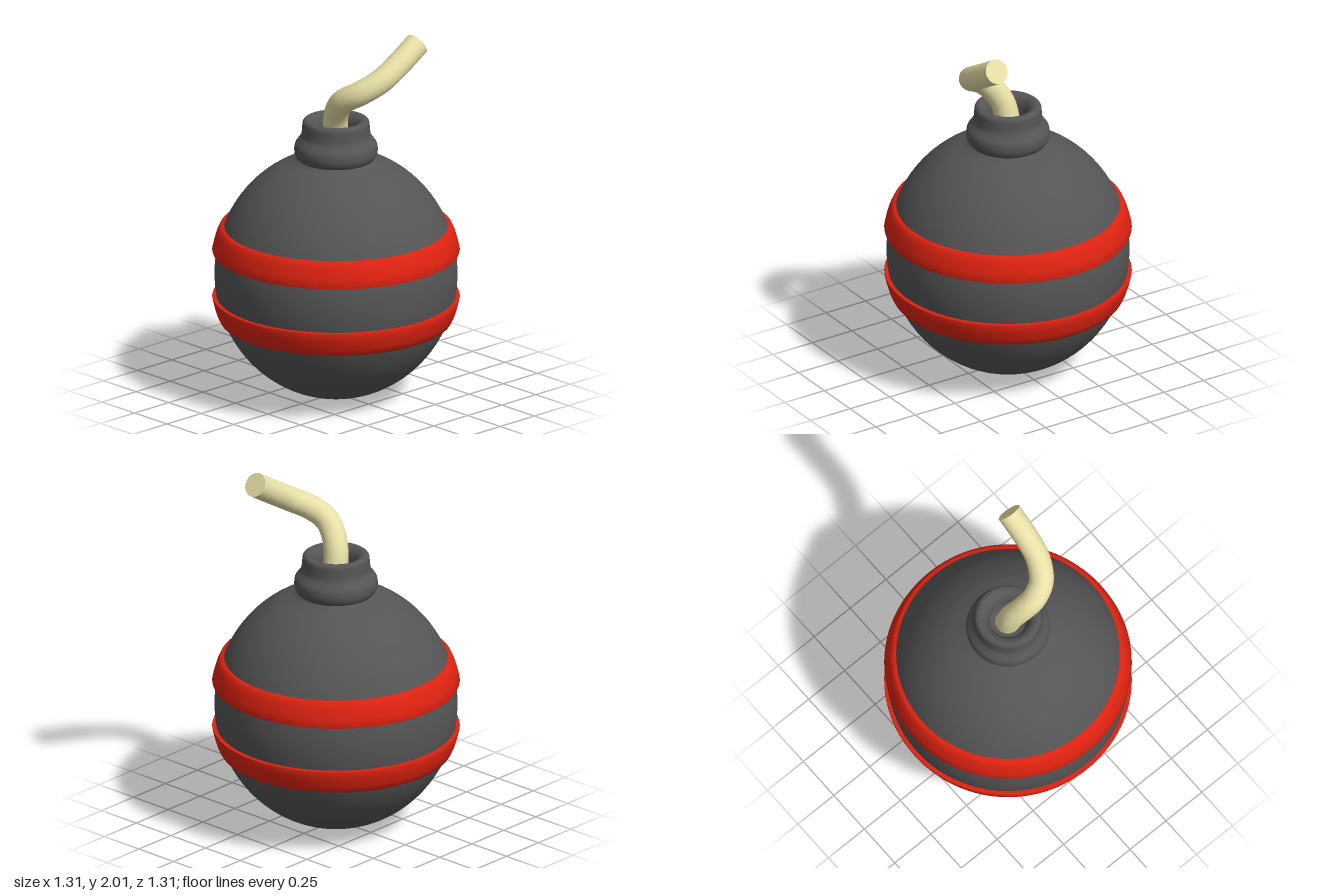
import * as THREE from 'three';
import { toCreasedNormals } from 'three/addons/utils/BufferGeometryUtils.js';

const iron = new THREE.MeshStandardMaterial({ color: 0x555555 });
const red = new THREE.MeshStandardMaterial({ color: 0xdd2211 });
const cord = new THREE.MeshStandardMaterial({ color: 0xe6dfa6 });

const vectors = (pairs) => pairs.map(([x, y]) => new THREE.Vector2(x, y));

function addMesh(group, name, geometry, material) {
  const mesh = new THREE.Mesh(geometry, material);
  mesh.name = name;
  group.add(mesh);
  return mesh;
}

export function createModel() {
  const model = new THREE.Group();
  model.name = 'bomb';

  // Slightly tall round body, flaring into the neck
  const centerY = 0.675, radius = 0.645, height = 0.675;
  const profile = [];
  for (let i = 0; i <= 40; i++) {
    const a = -Math.PI / 2 + (i / 40) * (Math.PI / 2 + 1.1);
    profile.push(new THREE.Vector2(i ? radius * Math.cos(a) : 0, centerY + height * Math.sin(a)));
  }
  profile.push(...vectors([[0.235, 1.297], [0.2, 1.318], [0.185, 1.34]]));
  addMesh(model, 'body', new THREE.LatheGeometry(profile, 96), iron);

  // Neck: swollen collar, narrower rim and a hollow for the fuse
  const neck = new THREE.SplineCurve(vectors([
    [0.17, 1.305], [0.2, 1.315], [0.22, 1.35], [0.219, 1.395], [0.2, 1.425],
    [0.185, 1.45], [0.18, 1.49], [0.177, 1.52], [0.165, 1.534], [0.145, 1.534],
    [0.122, 1.52], [0.105, 1.49], [0.098, 1.45], [0.085, 1.425], [0, 1.42],
  ]));
  addMesh(model, 'neck', new THREE.LatheGeometry(neck.getPoints(60), 64), iron);

  // Two raised bands, mirrored about the middle
  const bandOuter = [[0.655, 0.125], [0.657, 0.131], [0.647, 0.175], [0.633, 0.222], [0.617, 0.256], [0.609, 0.262]];
  for (const side of [1, -1]) {
    let points = [[0.59, 0.125], ...bandOuter, [0.56, 0.262], [0.59, 0.125]];
    points = points.map(([x, y]) => [x, 0.677 + side * y]);
    if (side < 0) points.reverse();
    const geometry = toCreasedNormals(new THREE.LatheGeometry(vectors(points), 96), 0.7);
    addMesh(model, side > 0 ? 'upperBand' : 'lowerBand', geometry, red);
  }

  // Curling fuse with a flat cut end
  const path = new THREE.CatmullRomCurve3([
    [0.01, 1.4, 0], [-0.02, 1.54, 0.018], [-0.048, 1.63, 0.07], [-0.058, 1.685, 0.13],
    [-0.025, 1.735, 0.21], [0.07, 1.795, 0.268], [0.19, 1.868, 0.283], [0.325, 1.95, 0.283],
  ].map((p) => new THREE.Vector3(...p)));
  const fuse = new THREE.Group();
  fuse.name = 'fuse';
  model.add(fuse);
  addMesh(fuse, 'fuseCord', new THREE.TubeGeometry(path, 64, 0.066, 24), cord);
  const end = addMesh(fuse, 'fuseEnd', new THREE.CircleGeometry(0.066, 24), cord);
  end.position.copy(path.getPointAt(1));
  end.quaternion.setFromUnitVectors(new THREE.Vector3(0, 0, 1), path.getTangentAt(1));

  return model;
}
